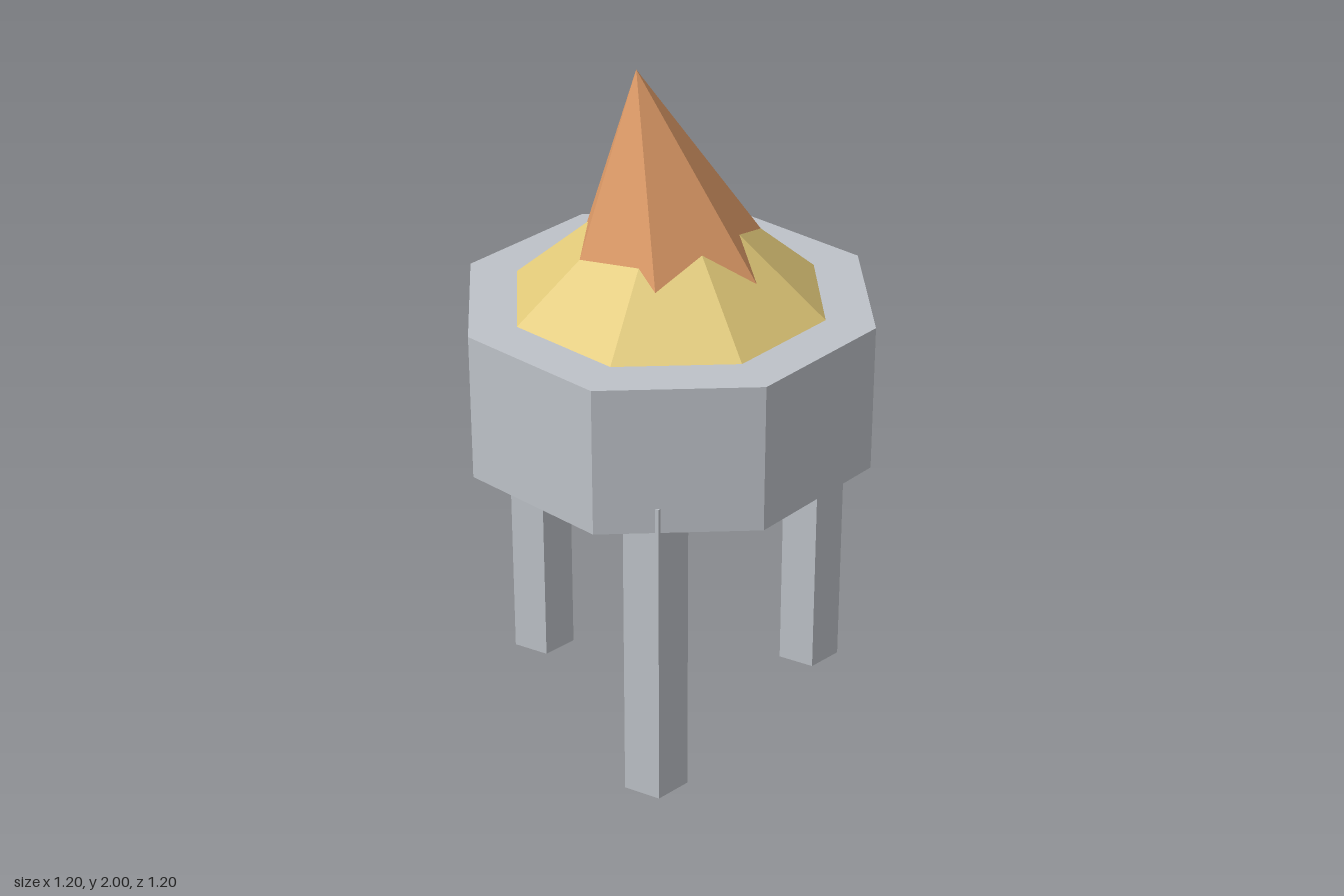
import * as THREE from 'three';

export function createModel() {
  const model = new THREE.Group();
  model.name = 'legged bowl with mound';

  const material = (name, color) => {
    const m = new THREE.MeshStandardMaterial({ color, flatShading: true });
    m.name = name;
    return m;
  };
  const stone = material('grey stone', 0xbec2c8);
  const sand = material('yellow sand', 0xe0c878);
  const clay = material('orange clay', 0xe09c68);

  const add = (name, geometry, mat, x, y, z) => {
    const mesh = new THREE.Mesh(geometry, mat);
    mesh.name = name;
    mesh.position.set(x, y, z);
    model.add(mesh);
    return mesh;
  };

  // Octagonal bowl, corners on the axes
  const bottom = 0.875, top = 1.312;
  add('bowl', new THREE.CylinderGeometry(0.6, 0.6, top - bottom, 8), stone, 0, (bottom + top) / 2, 0);

  // Three five-sided legs, all turned the same way; the two on the right poke through the bowl wall
  const legHeight = 0.95;
  const legGeometry = new THREE.CylinderGeometry(0.094, 0.094, legHeight, 5, 1, false, -Math.PI / 2);
  for (let i = 0; i < 3; i++) {
    const a = (i * Math.PI * 2) / 3;
    add('leg', legGeometry, stone, 0.47 * Math.cos(a), legHeight / 2, 0.47 * Math.sin(a));
  }

  // Low mound filling the bowl
  const moundHeight = 0.395;
  add('mound', new THREE.ConeGeometry(0.457, moundHeight, 8), sand, 0, top + moundHeight / 2, 0);

  // Six-sided spike leaning to the right, its base buried in the mound
  const height = 0.75, lean = 0.148;
  const spike = add('spike', new THREE.ConeGeometry(height * 0.503, height, 6, 1, false, Math.PI / 2), clay,
    -0.095 + (Math.sin(lean) * height) / 2, 2 - (Math.cos(lean) * height) / 2, 0);
  spike.rotation.z = lean;

  return model;
}
